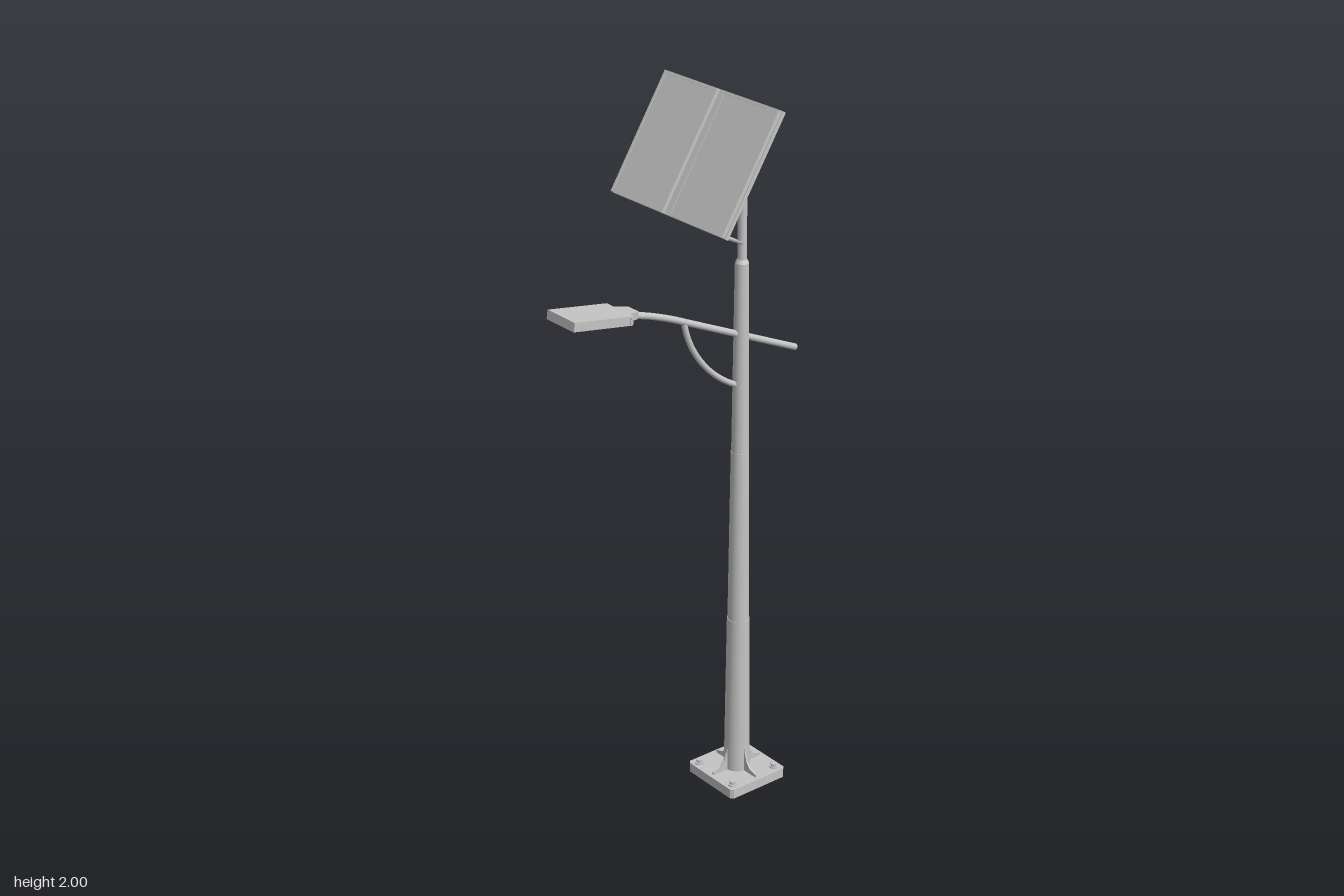
import * as THREE from 'three';

export function createModel() {
  const model = new THREE.Group();
  const metal = new THREE.MeshStandardMaterial({ color: 0xc4c4c4 });
  metal.name = 'light grey metal';
  const PZ = -0.195; // pole axis

  function add(name, geometry, x = 0, y = 0, z = 0, parent = model) {
    const mesh = new THREE.Mesh(geometry, metal);
    mesh.name = name;
    mesh.position.set(x, y, z);
    parent.add(mesh);
    return mesh;
  }
  const box = (w, h, d) => new THREE.BoxGeometry(w, h, d);
  const v = (x, y, z) => new THREE.Vector3(x, y, z);

  // straight round bar between two points
  function rod(name, a, b, r) {
    const dir = b.clone().sub(a);
    const mesh = add(name, new THREE.CylinderGeometry(r, r, dir.length(), 10));
    mesh.position.copy(a).add(b).multiplyScalar(0.5);
    mesh.quaternion.setFromUnitVectors(v(0, 1, 0), dir.normalize());
  }

  // outline drawn in x/y, extruded and centred along z
  function plate(points, depth, hole) {
    const shape = new THREE.Shape(points.map(p => new THREE.Vector2(...p)));
    if (hole) shape.holes.push(new THREE.Path(hole.map(p => new THREE.Vector2(...p))));
    const g = new THREE.ExtrudeGeometry(shape, { depth, bevelEnabled: false });
    return g.translate(0, 0, -depth / 2);
  }
  const rect = (w, h) => [[-w / 2, -h / 2], [w / 2, -h / 2], [w / 2, h / 2], [-w / 2, h / 2]];

  // base plate with rounded corners
  const s = 0.097, c = 0.008;
  const basePlate = plate([[-s + c, -s], [s - c, -s], [s, -s + c], [s, s - c],
    [s - c, s], [-s + c, s], [-s, s - c], [-s, -s + c]], 0.028).rotateX(-Math.PI / 2);
  add('basePlate', basePlate, 0, 0.014, PZ);

  // anchor bolts
  for (const sx of [-1, 1]) for (const sz of [-1, 1]) {
    const x = sx * 0.073, z = PZ + sz * 0.075;
    add('boltWasher', new THREE.CylinderGeometry(0.013, 0.013, 0.004, 20), x, 0.03, z);
    add('boltNut', new THREE.CylinderGeometry(0.009, 0.009, 0.009, 6), x, 0.035, z);
  }

  // curved gussets round the foot
  const gusset = plate([[0.025, 0.028], [0.085, 0.028], [0.085, 0.036], [0.06, 0.043],
    [0.046, 0.06], [0.038, 0.085], [0.034, 0.11], [0.025, 0.11]], 0.005);
  for (let i = 0; i < 4; i++) add('gusset', gusset, 0, 0, PZ).rotation.y = i * Math.PI / 2;

  // stepped, tapering pole: [bottom y, top y, bottom radius, top radius]
  const sections = [
    [0.028, 0.5, 0.036, 0.031], [0.5, 1.0, 0.0295, 0.0245], [1.0, 1.53, 0.0235, 0.0185],
    [1.53, 1.54, 0.0185, 0.013], [1.54, 1.72, 0.012, 0.012], [1.713, 1.748, 0.016, 0.016],
    [1.748, 1.755, 0.016, 0.012],
  ];
  for (const [y0, y1, r0, r1] of sections) {
    add('poleSection', new THREE.CylinderGeometry(r1, r0, y1 - y0, 32), 0, (y0 + y1) / 2, PZ);
  }

  // lamp arm: straight tail through the pole, bending over towards the lamp
  const armPath = new THREE.CurvePath();
  armPath.add(new THREE.LineCurve3(v(0, 1.25, -0.381), v(0, 1.412, -0.01)));
  armPath.add(new THREE.QuadraticBezierCurve3(v(0, 1.412, -0.01), v(0, 1.465, 0.105), v(0, 1.481, 0.2)));
  add('lampArm', new THREE.TubeGeometry(armPath, 40, 0.009, 16));
  const tail = add('armEndCap', new THREE.CircleGeometry(0.009, 16), 0, 1.25, -0.381);
  tail.lookAt(0, 1.25 - 0.162, -0.381 - 0.371);

  // curved brace below the arm
  const brace = new THREE.CubicBezierCurve3(v(0, 1.42, -0.005), v(0, 1.33, -0.015),
    v(0, 1.24, -0.085), v(0, 1.195, -0.18));
  add('armBrace', new THREE.TubeGeometry(brace, 24, 0.008, 16));

  // lamp head
  const lamp = new THREE.Group();
  lamp.name = 'lampHead';
  lamp.position.set(0, 1.485, 0.197);
  lamp.rotation.x = -0.15;
  model.add(lamp);
  add('lampBody', box(0.112, 0.024, 0.182), 0, 0, 0.091, lamp);
  add('lampRearLip', box(0.117, 0.019, 0.008), 0, 0, 0.006, lamp);
  add('lampLens', box(0.096, 0.004, 0.16), 0, -0.0125, 0.093, lamp);
  const neck = plate([[-0.034, 0], [0.034, 0], [0.021, 0.042], [-0.021, 0.042]], 0.02).rotateX(-Math.PI / 2);
  add('lampNeck', neck, 0, 0, 0, lamp);

  // solar panel: backing plate with two framed modules
  const solar = new THREE.Group();
  solar.name = 'solarPanel';
  solar.position.set(0, 1.8525, -0.041);
  solar.rotation.x = -0.555;
  model.add(solar);
  add('panelBacking', box(0.45, 0.335, 0.01), 0, 0, -0.005, solar);
  for (const side of [-1, 1]) {
    const x = side * 0.1165;
    add('moduleFrame', plate(rect(0.209, 0.333), 0.01, rect(0.195, 0.317)), x, 0, 0.005, solar);
    add('moduleCells', box(0.195, 0.317, 0.008), x, 0, 0.004, solar);
  }

  // struts from the pole to the panel edges
  for (const side of [-1, 1]) {
    rod('upperStrut', v(0, 1.738, PZ + 0.005), v(side * 0.217, 1.898, -0.075), 0.004);
    rod('lowerStrut', v(0, 1.582, PZ), v(side * 0.217, 1.709, 0.037), 0.004);
  }
  return model;
}
